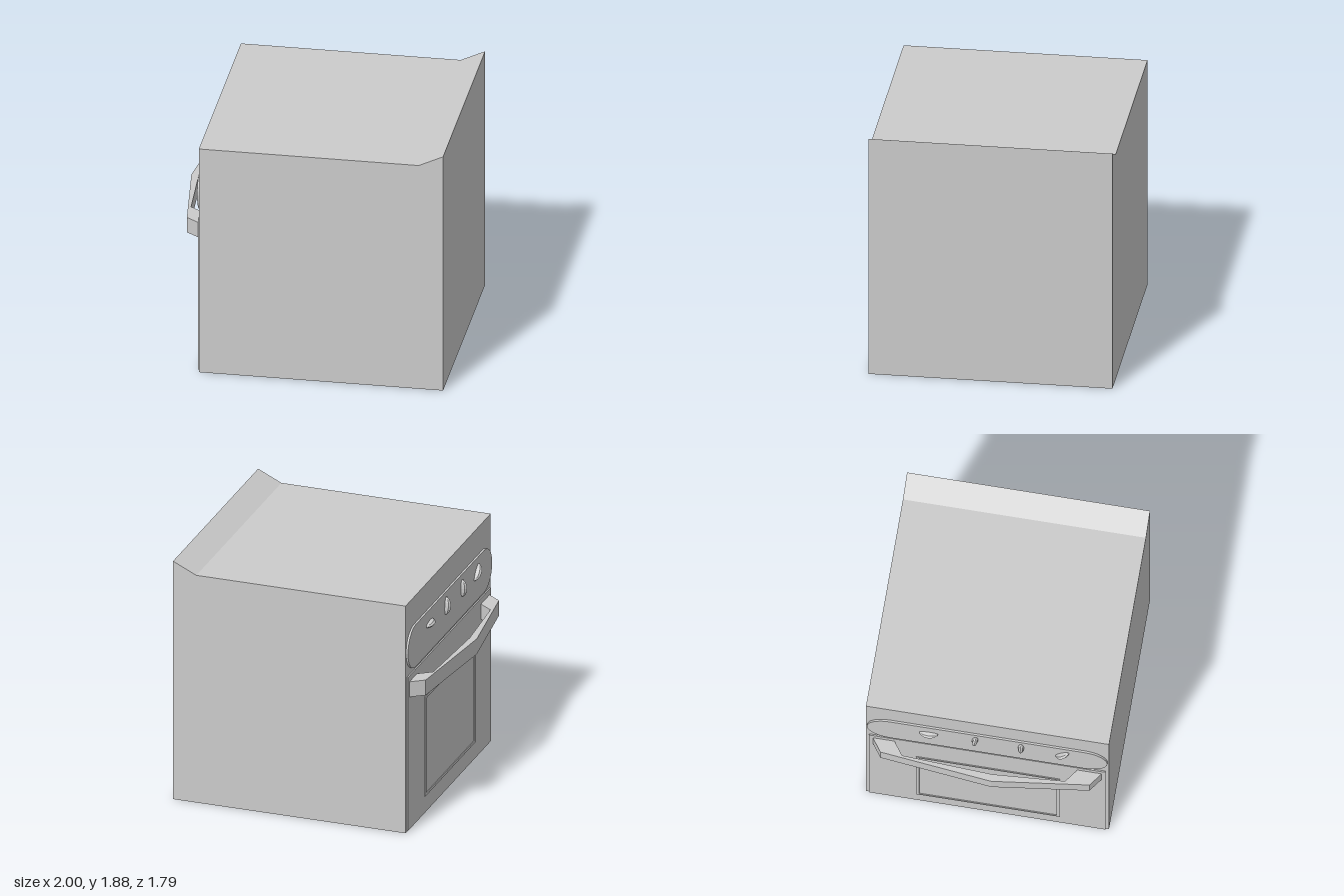
import * as THREE from 'three';

const material = new THREE.MeshStandardMaterial({ color: 0xcccccc, flatShading: true });
const FACE = -0.8; // x of the oven's working face
const HALF = 0.895; // half width along z

function polygon(points) {
  return new THREE.Shape(points.map(([a, b]) => new THREE.Vector2(a, b)));
}

function rectangle(u0, v0, u1, v1) {
  return polygon([[u0, v0], [u1, v0], [u1, v1], [u0, v1]]);
}

function addMesh(parent, name, geometry) {
  const mesh = new THREE.Mesh(geometry, material);
  mesh.name = name;
  parent.add(mesh);
  return mesh;
}

// Plate drawn in (z, y) that rises from the working face towards -x
function addPlate(parent, name, shape, thickness, base = FACE) {
  const geometry = new THREE.ExtrudeGeometry(shape, { depth: thickness, bevelEnabled: false, curveSegments: 8 });
  geometry.rotateY(-Math.PI / 2);
  geometry.translate(base, 0, 0);
  return addMesh(parent, name, geometry);
}

export function createModel() {
  const oven = new THREE.Group();
  oven.name = 'oven';

  // Cabinet with the wedge-shaped upstand along its rear edge
  const profile = polygon([[FACE, 0], [1, 0], [1, 1.885], [0.82, 1.8], [FACE, 1.8]]);
  const body = new THREE.ExtrudeGeometry(profile, { depth: 2 * HALF, bevelEnabled: false });
  body.translate(0, 0, -HALF);
  addMesh(oven, 'cabinet', body);

  // Door and raised window frame
  addPlate(oven, 'door', rectangle(-0.87, 0.01, 0.87, 1.225), 0.01);
  const frame = rectangle(-0.525, 0.14, 0.535, 0.93);
  frame.holes.push(rectangle(-0.5, 0.16, 0.51, 0.91));
  addPlate(oven, 'windowFrame', frame, 0.006, FACE - 0.009);

  // Control panel with rounded ends
  const panel = new THREE.Shape();
  const radius = 0.167, panelY = 1.418, endZ = 0.885 - radius;
  panel.absarc(endZ, panelY, radius, -Math.PI / 2, Math.PI / 2);
  panel.absarc(-endZ, panelY, radius, Math.PI / 2, Math.PI * 1.5);
  addPlate(oven, 'controlPanel', panel, 0.015);

  // Slim knobs, each turned to a different setting: [z, angle from vertical]
  const knobs = [[-0.43, 1.5], [-0.09, 0.12], [0.25, 0], [0.555, 0.75]];
  knobs.forEach(([z, angle], i) => {
    const knob = addMesh(oven, `knob${i + 1}`, new THREE.SphereGeometry(1, 8, 8));
    knob.scale.set(0.045, 0.07, 0.023);
    knob.rotation.x = angle;
    knob.position.set(FACE - 0.01, 1.478, z);
  });

  // Bowed door handle, outlined in plan as (x, -z) and extruded upwards
  const outline = [
    [FACE, -0.85], [-0.91, -0.77], [-1, 0.06], [-0.91, 0.77], [FACE, 0.85],
    [FACE, 0.67], [-0.91, 0.59], [-0.945, 0.06], [-0.91, -0.61], [FACE, -0.69],
  ];
  const handle = new THREE.ExtrudeGeometry(polygon(outline.map(([x, z]) => [x, -z])), { depth: 0.12, bevelEnabled: false });
  handle.rotateX(-Math.PI / 2);
  handle.translate(0, 1.06, 0);
  addMesh(oven, 'doorHandle', handle);

  return oven;
}
